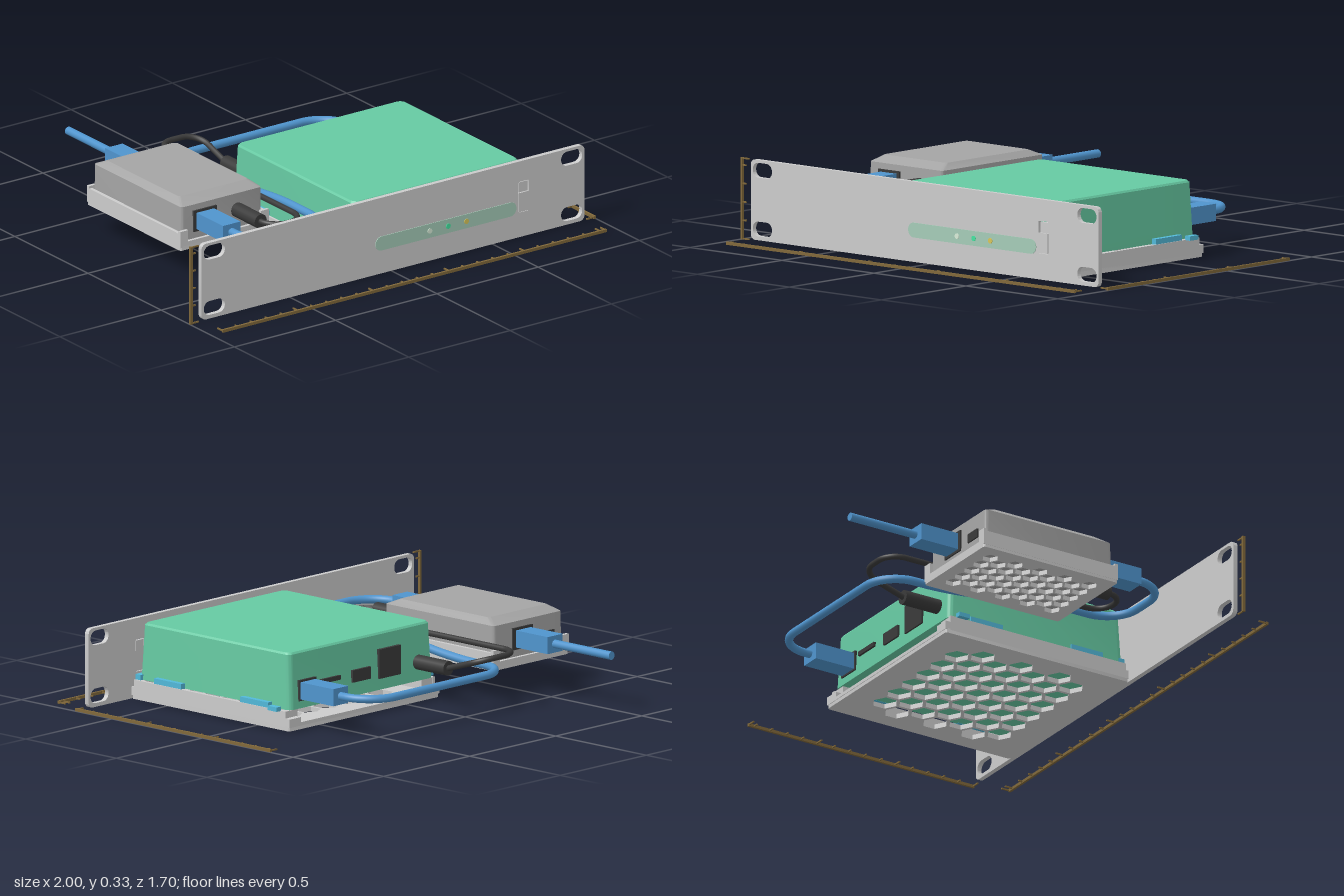
import * as THREE from 'three';
import { toCreasedNormals } from 'three/addons/utils/BufferGeometryUtils.js';

const mat = (color, side = THREE.FrontSide) => new THREE.MeshStandardMaterial({ color, side });
const GREY = mat(0xcccccc), BODY = mat(0xa4a4a4), GREEN = mat(0x66c9a2), BLUE = mat(0x4f94cd);
const BLACK = mat(0x3a3a3a), TEAL = mat(0x52b8d8), BROWN = mat(0x80683a), BAR = mat(0xa5ccb8);

export function createModel() {
  const root = new THREE.Group();

  function add(parent, name, geometry, material) {
    const mesh = new THREE.Mesh(geometry, material);
    mesh.name = name;
    parent.add(mesh);
    return mesh;
  }
  function group(name) {
    const g = new THREE.Group();
    g.name = name;
    root.add(g);
    return g;
  }
  // box given by its extents on each axis
  function box(parent, name, material, x0, x1, y0, y1, z0, z1) {
    const g = new THREE.BoxGeometry(x1 - x0, y1 - y0, z1 - z0);
    g.translate((x0 + x1) / 2, (y0 + y1) / 2, (z0 + z1) / 2);
    return add(parent, name, g, material);
  }
  // rounded rectangle outline, usable as a shape or a hole
  function roundRect(cx, cy, w, h, r, Type = THREE.Shape) {
    const s = new Type(), x = w / 2 - r, y = h / 2 - r;
    s.absarc(cx + x, cy + y, r, 0, Math.PI / 2);
    s.absarc(cx - x, cy + y, r, Math.PI / 2, Math.PI);
    s.absarc(cx - x, cy - y, r, Math.PI, Math.PI * 1.5);
    s.absarc(cx + x, cy - y, r, Math.PI * 1.5, Math.PI * 2);
    s.closePath();
    return s;
  }
  const extrude = (shape, depth, seg = 6) =>
    toCreasedNormals(new THREE.ExtrudeGeometry(shape, { depth, bevelEnabled: false, curveSegments: seg }), 0.5);

  // upright block with rounded corners that narrows to the top
  function taperBlock(parent, name, material, cx, cz, y0, h, w, d, topW, topD, r) {
    const g = new THREE.ExtrudeGeometry(roundRect(0, 0, w, d, r), { depth: h, bevelEnabled: false, curveSegments: 5 });
    g.rotateX(-Math.PI / 2);
    const p = g.attributes.position;
    for (let i = 0; i < p.count; i++) {
      if (p.getY(i) > h / 2) p.setXYZ(i, p.getX(i) * topW / w, p.getY(i), p.getZ(i) * topD / d);
    }
    g.translate(cx, y0, cz);
    return add(parent, name, toCreasedNormals(g, 0.35), material);
  }

  // cable through corner points, each corner rounded
  function cable(name, material, radius, bend, points) {
    const P = points.map((p) => new THREE.Vector3(...p));
    const path = new THREE.CurvePath();
    let from = P[0];
    for (let i = 1; i < P.length - 1; i++) {
      const a = P[i].clone().addScaledVector(P[i - 1].clone().sub(P[i]).normalize(), bend);
      const b = P[i].clone().addScaledVector(P[i + 1].clone().sub(P[i]).normalize(), bend);
      path.add(new THREE.LineCurve3(from, a));
      path.add(new THREE.CubicBezierCurve3(a, a.clone().lerp(P[i], 0.55), b.clone().lerp(P[i], 0.55), b));
      from = b;
    }
    path.add(new THREE.LineCurve3(from, P[P.length - 1]));
    add(root, name, new THREE.TubeGeometry(path, 160, radius, 12), material);
  }

  // floor plate with a honeycomb of holes
  function hexFloor(parent, x0, x1, z0, z1, y, t, border, pitch, hole) {
    const w = x1 - x0, d = z1 - z0;
    const s = roundRect(0, 0, w, d, 0.01);
    const row = pitch * 0.866;
    const rows = Math.floor((d / 2 - border - hole) / row);
    for (let j = -rows; j <= rows; j++) {
      const shift = j % 2 ? pitch / 2 : 0;
      for (let i = -12; i <= 12; i++) {
        const hx = i * pitch + shift;
        if (Math.abs(hx) + hole > w / 2 - border) continue;
        const pts = [];
        for (let k = 0; k < 6; k++) {
          const a = (k + 0.5) * Math.PI / 3;
          pts.push(new THREE.Vector2(hx + hole * Math.cos(a), j * row + hole * Math.sin(a)));
        }
        s.holes.push(new THREE.Path(pts));
      }
    }
    const g = extrude(s, t);
    g.rotateX(-Math.PI / 2);
    g.translate((x0 + x1) / 2, y, (z0 + z1) / 2);
    add(parent, 'honeycombFloor', g, GREY);
  }

  // front panel with mounting slots and a latch window
  const panel = group('frontPanel');
  const face = roundRect(0, 0.168, 1.89, 0.325, 0.022);
  for (const x of [-0.882, 0.882])
    for (const y of [0.051, 0.289]) face.holes.push(roundRect(x, y, 0.104, 0.06, 0.029, THREE.Path));
  face.holes.push(roundRect(0.645, 0.177, 0.054, 0.132, 0.006, THREE.Path));
  add(panel, 'panelPlate', extrude(face, 0.02), GREY).position.z = 0.68;
  box(panel, 'latchTab', GREY, 0.62, 0.67, 0.113, 0.195, 0.682, 0.701);
  box(panel, 'latchStem', GREY, 0.624, 0.668, 0.195, 0.238, 0.682, 0.694);

  // status light bar
  add(panel, 'lightBar', extrude(roundRect(0.26, 0.135, 0.694, 0.06, 0.029), 0.003), BAR).position.z = 0.7;
  [[0.179, 0xd8ecd8], [0.27, 0x45e3a0], [0.36, 0xd8c65a]].forEach(([x, c]) => {
    const led = add(panel, 'statusLight', new THREE.CylinderGeometry(0.011, 0.011, 0.006, 16), mat(c));
    led.rotation.x = Math.PI / 2;
    led.position.set(x, 0.135, 0.703);
  });

  // main tray: honeycomb floor, side walls, low back lip, corner posts
  const tray = group('mainTray');
  hexFloor(tray, -0.175, 0.695, -0.19, 0.68, 0.005, 0.02, 0.05, 0.105, 0.053);
  box(tray, 'backLip', GREY, -0.175, 0.695, 0.02, 0.034, -0.192, -0.176);
  box(tray, 'frontLip', GREY, -0.175, 0.695, 0.02, 0.055, 0.664, 0.684);
  for (const s of [-1, 1]) {
    const at = (a, b) => [0.26 + s * a, 0.26 + s * b].sort((p, q) => p - q);
    box(tray, 'sideWall', GREY, ...at(0.42, 0.435), 0.02, 0.084, -0.168, 0.668);
    box(tray, 'cornerPost', GREY, ...at(0.37, 0.435), 0.02, 0.055, -0.192, -0.165);
    box(tray, 'frontPost', GREY, ...at(0.36, 0.42), 0.02, 0.083, 0.63, 0.66);
    box(tray, 'rearRest', GREY, ...at(0.36, 0.42), 0.02, 0.083, -0.165, -0.13);
    // teal clips that hold the device
    for (const [z0, z1] of [[-0.07, 0.084], [0.41, 0.56]])
      box(tray, 'sideClip', TEAL, ...at(0.4, 0.432), 0.083, 0.106, z0, z1);
    box(tray, 'latchClip', TEAL, ...at(0.43, 0.456), 0.082, 0.1, -0.14, -0.09);
    box(tray, 'frontClip', TEAL, ...at(0.32, 0.425), 0.072, 0.106, 0.64, 0.668);
  }

  // green device and its rear sockets
  const device = group('device');
  taperBlock(device, 'deviceBody', GREEN, 0.253, 0.246, 0.084, 0.224, 0.836, 0.832, 0.822, 0.808, 0.025);
  taperBlock(device, 'deviceTop', GREEN, 0.253, 0.246, 0.308, 0.008, 0.822, 0.808, 0.81, 0.796, 0.025);
  box(device, 'squareSocket', BLACK, 0.03, 0.155, 0.13, 0.25, -0.175, -0.13);
  box(device, 'videoSocket', BLACK, 0.205, 0.31, 0.14, 0.19, -0.175, -0.13);
  box(device, 'slimSocket', BLACK, 0.38, 0.495, 0.165, 0.183, -0.175, -0.13);
  box(device, 'networkSocket', BLACK, 0.52, 0.62, 0.115, 0.2, -0.174, -0.13);

  // power adapter with a chamfered lid
  const adapter = group('adapter');
  taperBlock(adapter, 'adapterBody', BODY, -0.519, -0.053, 0.136, 0.159, 0.4, 0.606, 0.396, 0.6, 0.015);
  taperBlock(adapter, 'adapterLid', BODY, -0.519, -0.053, 0.295, 0.024, 0.396, 0.6, 0.34, 0.49, 0.015);
  box(adapter, 'rearNetworkSocket', BLACK, -0.54, -0.425, 0.18, 0.27, -0.361, -0.32);
  box(adapter, 'rearSmallSocket', BLACK, -0.665, -0.595, 0.19, 0.228, -0.361, -0.32);
  box(adapter, 'frontNetworkSocket', BLACK, -0.662, -0.548, 0.18, 0.27, 0.22, 0.255);

  // adapter tray
  const small = group('adapterTray');
  hexFloor(small, -0.735, -0.298, -0.373, 0.265, 0.118, 0.018, 0.035, 0.068, 0.034);
  for (const s of [-1, 1]) {
    const at = (a, b) => [-0.517 + s * a, -0.517 + s * b].sort((p, q) => p - q);
    box(small, 'sideWall', GREY, ...at(0.204, 0.219), 0.13, 0.19, -0.373, 0.265);
    for (const [z0, z1] of [[-0.373, -0.358], [0.251, 0.265]])
      box(small, 'cornerPost', GREY, ...at(0.18, 0.219), 0.13, 0.2, z0, z1);
  }
  for (const [z0, z1] of [[-0.373, -0.358], [0.251, 0.265]])
    box(small, 'endLip', GREY, -0.73, -0.303, 0.13, 0.152, z0, z1);

  // plugs
  box(root, 'networkPlug', BLUE, -0.527, -0.441, 0.19, 0.26, -0.537, -0.34);
  box(root, 'networkPlug', BLUE, -0.648, -0.562, 0.19, 0.26, 0.24, 0.435);
  box(root, 'networkPlug', BLUE, 0.527, 0.613, 0.122, 0.192, -0.355, -0.15);
  for (const [x, y, z] of [[-0.078, 0.16, -0.25], [-0.443, 0.225, 0.325]]) {
    const g = new THREE.CylinderGeometry(0.03, 0.03, 0.168, 20);
    g.rotateX(Math.PI / 2);
    add(root, 'powerPlug', g, BLACK).position.set(x, y, z);
  }

  // cables
  cable('patchCable', BLUE, 0.017, 0.14, [[-0.605, 0.225, 0.43], [-0.605, 0.225, 0.59], [-0.235, 0.225, 0.59],
    [-0.235, 0.225, 0.2], [-0.235, 0.157, -0.2], [-0.235, 0.157, -0.52], [0.57, 0.157, -0.52], [0.57, 0.157, -0.35]]);
  cable('powerCable', BLACK, 0.012, 0.08, [[-0.078, 0.16, -0.33], [-0.078, 0.223, -0.53], [-0.28, 0.225, -0.53],
    [-0.28, 0.225, 0.487], [-0.443, 0.225, 0.487], [-0.443, 0.225, 0.4]]);
  const lead = new THREE.CylinderGeometry(0.017, 0.017, 0.32, 16);
  lead.rotateX(Math.PI / 2);
  add(root, 'uplinkCable', lead, BLUE).position.set(-0.483, 0.226, -0.69);

  // measuring rulers: a bar with short and long ticks
  const rulers = group('rulers');
  const step = 0.0746, t = 0.003;
  function ticks(length, draw) {
    for (let i = 0; i * step < length; i++) draw(i * step, i % 5 ? 0.02 : 0.035);
    draw(length, 0.035);
  }
  box(rulers, 'widthRuler', BROWN, -0.945, 0.95, 0, 0.012, 0.838, 0.848);
  ticks(1.89, (u, l) => box(rulers, 'tick', BROWN, -0.942 + u - t, -0.942 + u + t, 0.003, 0.009, 0.84 - l, 0.84));
  box(rulers, 'depthRuler', BROWN, 0.99, 1, 0, 0.012, -0.374, 0.703);
  ticks(1.07, (u, l) => box(rulers, 'tick', BROWN, 0.992 - l, 0.992, 0.003, 0.009, 0.698 - u - t, 0.698 - u + t));
  box(rulers, 'heightRuler', BROWN, -1, -0.99, 0, 0.332, 0.69, 0.702);
  ticks(0.326, (u, l) => box(rulers, 'tick', BROWN, -0.992, -0.992 + l, 0.003 + u - t, 0.003 + u + t, 0.693, 0.699));

  return root;
}
